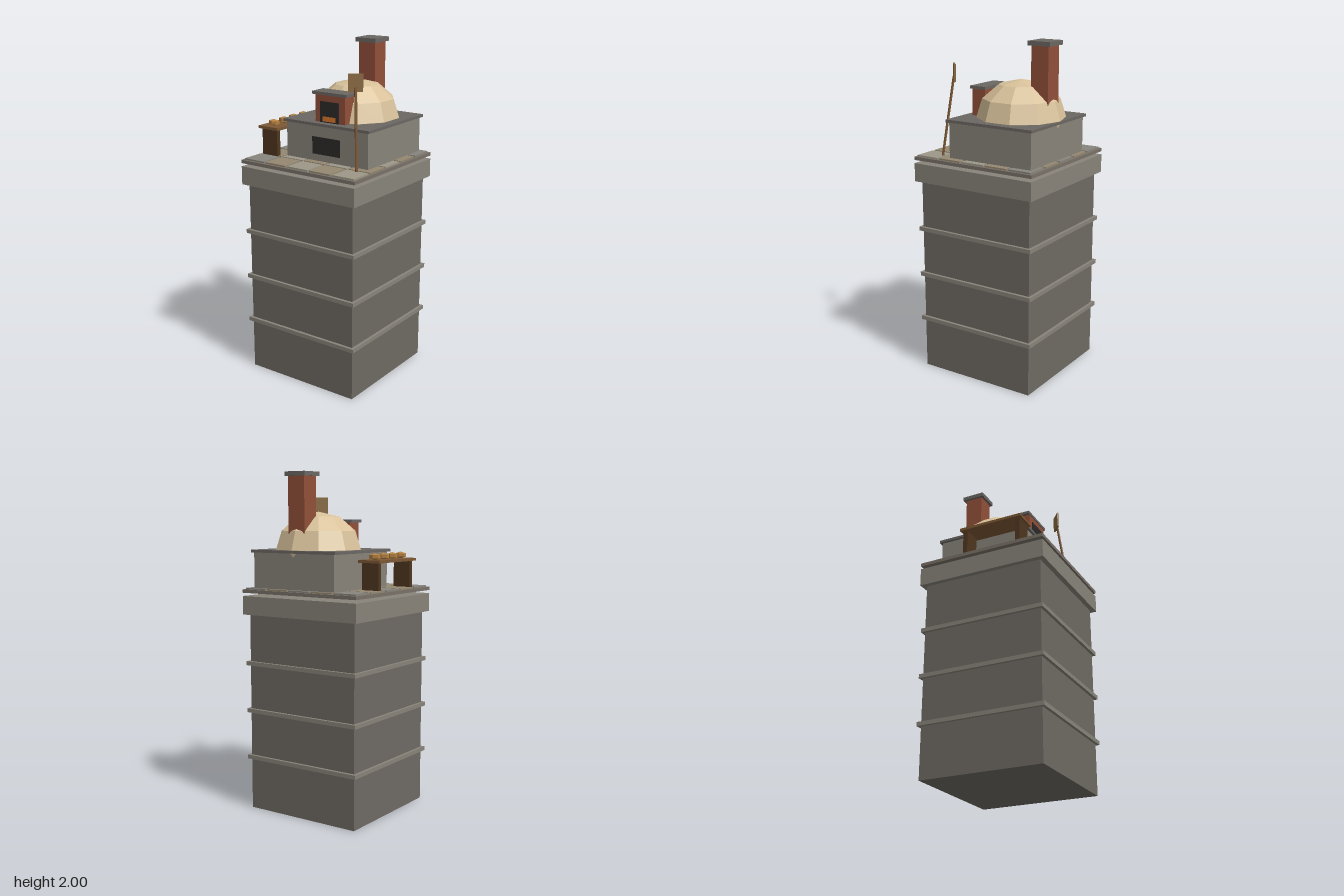
import * as THREE from 'three';

const mats = {};
function mat(color) {
  return (mats[color] ??= new THREE.MeshStandardMaterial({ color, flatShading: true }));
}

const STONE = 0x6e6a63, TRIM = 0x88847a, SLATE = 0x6b6763, BRICK = 0x91503a;
const DARK = 0x2c2a29, WOOD = 0x7d5834, DARK_WOOD = 0x4f361f, CRUST = 0xb88442;

export function createModel() {
  const root = new THREE.Group();

  function add(name, geometry, color, parent = root) {
    const mesh = new THREE.Mesh(geometry, mat(color));
    mesh.name = name;
    parent.add(mesh);
    return mesh;
  }
  // Box given by its extents along each axis
  function box(name, [x0, x1], [y0, y1], [z0, z1], color, parent) {
    const mesh = add(name, new THREE.BoxGeometry(x1 - x0, y1 - y0, z1 - z0), color, parent);
    mesh.position.set((x0 + x1) / 2, (y0 + y1) / 2, (z0 + z1) / 2);
    return mesh;
  }
  function group(name) {
    const g = new THREE.Group();
    g.name = name;
    root.add(g);
    return g;
  }
  const sym = (h) => [-h, h];

  // Tower with string courses and a cornice
  const tower = group('tower');
  box('towerBody', sym(0.37), [0, 1.18], sym(0.37), STONE, tower);
  for (const y of [0.317, 0.601, 0.886]) {
    box('stringCourse', sym(0.388), [y - 0.012, y + 0.012], sym(0.388), TRIM, tower);
  }
  box('cornice', sym(0.4), [1.177, 1.286], sym(0.4), TRIM, tower);

  // Terrace slab with a 5 x 5 pattern of paving tiles
  const terrace = group('terrace');
  box('terraceSlab', sym(0.4), [1.305, 1.325], sym(0.4), 0x7a7268, terrace);
  for (let i = -2; i <= 2; i++) {
    for (let j = -2; j <= 2; j++) {
      const color = (i + j) % 2 ? 0x958872 : i === -2 || j === -2 ? 0x88857d : 0x9c9787;
      const x = i * 0.157, z = j * 0.157;
      box('pavingTile', [x - 0.072, x + 0.072], [1.323, 1.334], [z - 0.072, z + 0.072], color, terrace);
    }
  }

  // Oven plinth, worktop and wood store
  const oven = group('oven');
  box('ovenPlinth', [-0.228, 0.342], [1.33, 1.543], [-0.36, 0.186], TRIM, oven);
  box('worktop', [-0.243, 0.356], [1.541, 1.557], [-0.373, 0.2], SLATE, oven);
  box('woodStore', [-0.042, 0.153], [1.374, 1.475], [0.17, 0.189], DARK, oven);

  // Faceted dome, its lower half sunk into the plinth
  const dome = add('dome', new THREE.SphereGeometry(0.258, 10, 6).rotateY(Math.PI / 2), 0xd8c19a, oven);
  dome.scale.y = 0.845;
  dome.position.set(0.056, 1.558, -0.115);

  // Oven mouth
  box('mouthSurround', [-0.045, 0.161], [1.557, 1.715], [0.063, 0.153], BRICK, oven);
  box('mouthLintel', [-0.063, 0.175], [1.713, 1.73], [0.055, 0.158], SLATE, oven);
  box('mouthOpening', [-0.01, 0.12], [1.557, 1.677], [0.14, 0.157], DARK, oven);
  box('embers', [0.011, 0.1], [1.563, 1.591], [0.145, 0.159], 0xd9772b, oven);

  // Chimney
  box('chimneyShaft', [0, 0.114], [1.56, 1.98], [-0.326, -0.216], BRICK, oven);
  box('chimneyCap', [-0.014, 0.127], [1.975, 2], [-0.343, -0.2], SLATE, oven);

  // Bench with loaves
  const bench = group('bench');
  box('benchTop', [-0.387, -0.243], [1.489, 1.505], [-0.145, 0.255], WOOD, bench);
  for (const z of [-0.117, 0.227]) {
    box('benchLeg', [-0.37, -0.26], [1.333, 1.49], [z - 0.014, z + 0.014], DARK_WOOD, bench);
  }
  const loafShape = new THREE.SphereGeometry(0.045, 6, 3).rotateY(Math.PI / 2);
  for (let i = 0; i < 4; i++) {
    const loaf = add('loaf', loafShape, CRUST, bench);
    loaf.scale.set(0.87, 0.44, 0.65);
    loaf.scale.set(0.87, 0.44, 0.65).multiply(new THREE.Vector3(1, 1, 1.0));
    loaf.scale.set(1 / 1.15 * 1.0, 0.44, 0.65);
    loaf.scale.set(1, 0.44, 0.64);
    loaf.scale.x = 0.87;
    loaf.position.set(-0.316, 1.523, -0.085 + i * 0.0945);
  }

  // Bread peel leaning beside the oven
  const peel = group('peel');
  const foot = new THREE.Vector3(0.315, 1.334, 0.256);
  const head = new THREE.Vector3(0.268, 1.79, 0.203);
  const dir = head.clone().sub(foot);
  const handle = add('peelHandle', new THREE.CylinderGeometry(0.008, 0.008, dir.length(), 6), WOOD, peel);
  handle.position.copy(foot).add(head).multiplyScalar(0.5);
  handle.quaternion.setFromUnitVectors(new THREE.Vector3(0, 1, 0), dir.normalize());
  const blade = add('peelBlade', new THREE.BoxGeometry(0.082, 0.1, 0.011), 0x8a6a42, peel);
  blade.position.set(0.266, 1.813, 0.2);
  blade.rotation.y = 0.71;

  return root;
}
